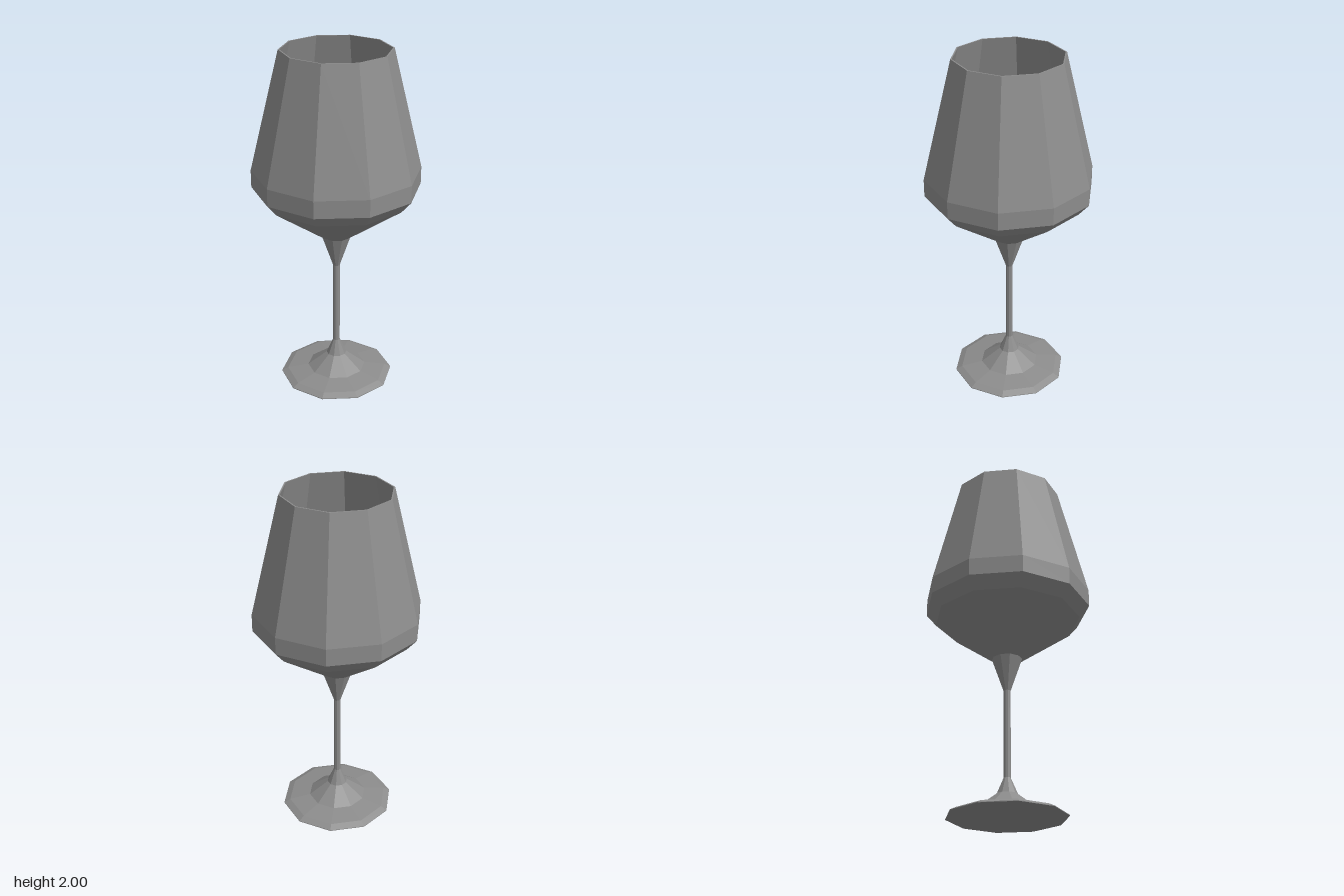
import * as THREE from 'three';

const SIDES = 10;

export function createModel() {
  const glass = new THREE.MeshStandardMaterial({ color: 0x8c8c8c, flatShading: true });
  glass.name = 'grey glass';

  const model = new THREE.Group();
  model.name = 'wineGlass';

  // Ten-sided turned part from [radius, height] pairs, outside listed upwards
  function turned(name, profile) {
    const points = profile.map(([r, y]) => new THREE.Vector2(r, y));
    const mesh = new THREE.Mesh(new THREE.LatheGeometry(points, SIDES, Math.PI * 0.75), glass);
    mesh.name = name;
    model.add(mesh);
  }

  // Flat underside, thin lip, flaring up to the stem
  turned('foot', [
    [0, 0], [0.332, 0], [0.332, 0.004], [0.295, 0.022],
    [0.171, 0.042], [0.059, 0.127], [0.02, 0.217],
  ]);

  // Thin stem widening into the neck
  turned('stem', [[0.02, 0.217], [0.02, 0.72], [0.086, 0.912]]);

  // Outer wall, rim, then inner wall down to the small flat bottom
  turned('bowl', [
    [0.086, 0.912], [0.418, 1.154], [0.476, 1.222], [0.476, 1.322], [0.309, 2],
    [0.301, 2], [0.466, 1.322], [0.466, 1.227], [0.41, 1.163], [0.042, 0.915], [0, 0.915],
  ]);

  return model;
}
